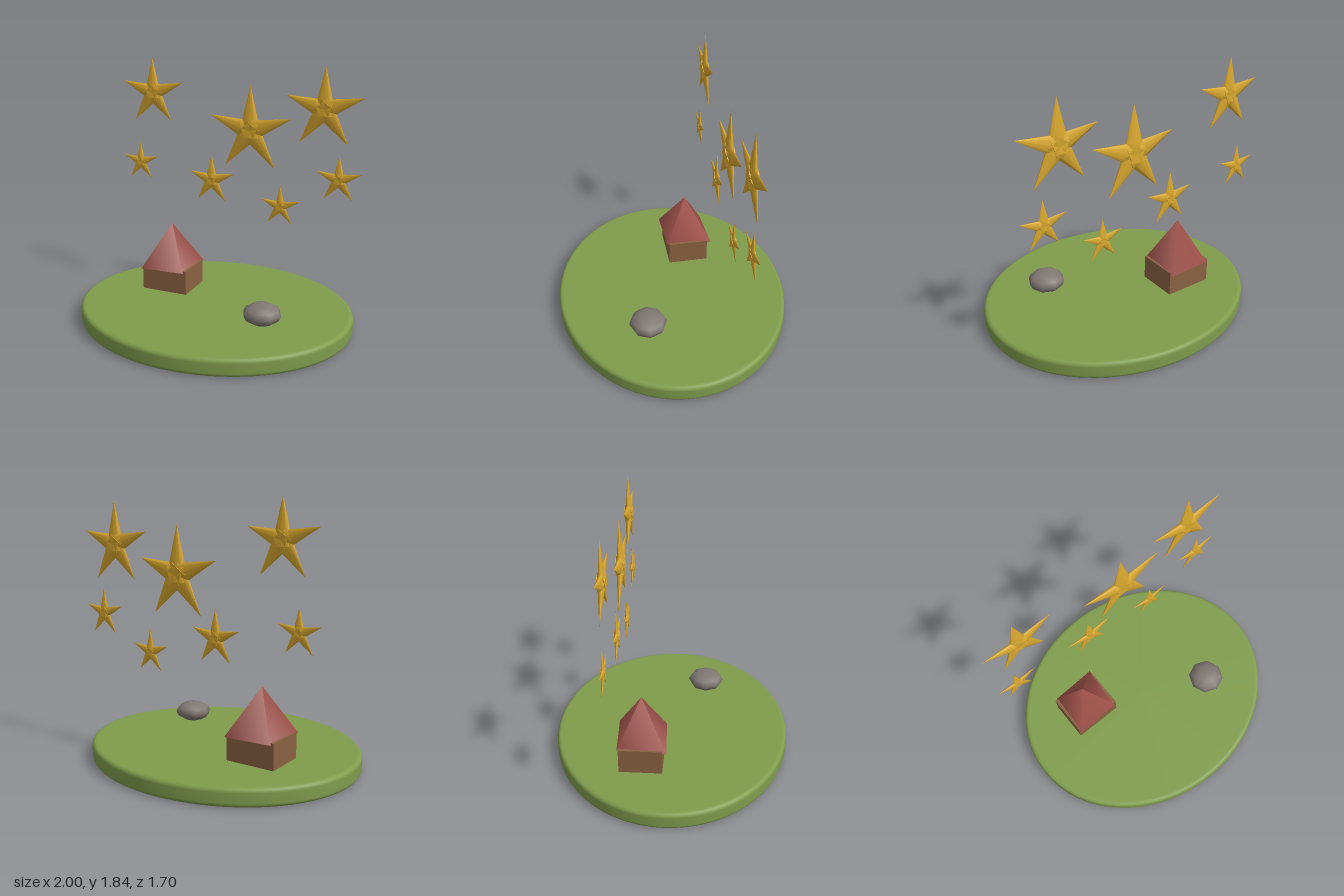
import * as THREE from 'three';

const paint = (name, color) => {
  const m = new THREE.MeshStandardMaterial({ color });
  m.name = name;
  return m;
};

export function createModel() {
  const grass = paint('grass green', 0x7f9c4c);
  const wood = paint('wall brown', 0x8a6242);
  const brick = paint('roof red', 0x9c5048);
  const stone = paint('stone grey', 0x807873);
  const gold = paint('star gold', 0xd9a82e);

  const model = new THREE.Group();
  const add = (parent, name, geometry, material, x = 0, y = 0, z = 0) => {
    const mesh = new THREE.Mesh(geometry, material);
    mesh.name = name;
    mesh.position.set(x, y, z);
    parent.add(mesh);
    return mesh;
  };

  // Oval island: a disc with rounded rims
  const H = 0.125, B = 0.03;
  const profile = [new THREE.Vector2(0, 0), new THREE.Vector2(1 - B - 0.01, 0)];
  for (const [cy, start] of [[B, -Math.PI / 2], [H - B, 0]]) {
    for (let i = 0; i <= 5; i++) {
      const a = start + (i / 5) * Math.PI / 2;
      profile.push(new THREE.Vector2(1 - B + B * Math.cos(a), cy + B * Math.sin(a)));
    }
  }
  profile.push(new THREE.Vector2(1 - B - 0.01, H), new THREE.Vector2(0, H));
  add(model, 'island', new THREE.LatheGeometry(profile, 64), grass).scale.z = 0.85;

  // House: box walls under a slightly skewed four-sided roof
  const house = new THREE.Group();
  house.name = 'house';
  house.position.set(-0.428, H, -0.181);
  model.add(house);
  add(house, 'walls', new THREE.BoxGeometry(0.358, 0.18, 0.298), wood, 0, 0.09, 0);
  const roofShape = new THREE.ConeGeometry(1, 0.33, 4);
  roofShape.scale(0.226, 1, 0.252).rotateY(-Math.PI / 4);
  add(house, 'roof', roofShape, brick, 0, 0.332, 0);

  // Flattened boulder
  add(model, 'boulder', new THREE.SphereGeometry(0.134, 8, 6), stone, 0.452, 0.215, 0.242).scale.y = 0.545;

  // Star of unit radius: five flattened cones whose bases overlap past the centre
  const overlap = 0.15;
  const arm = new THREE.ConeGeometry(0.285, 1 + overlap, 10);
  arm.scale(1, 1, 0.36).translate(0, (1 - overlap) / 2, 0);

  // [x, y, radius]
  const stars = [
    [-0.67, 1.577, 0.263], [0.12, 1.336, 0.329], [0.665, 1.519, 0.296], [-0.79, 1.033, 0.158],
    [-0.185, 0.941, 0.194], [0.36, 0.793, 0.158], [0.785, 1.031, 0.174],
  ];
  for (const [x, y, r] of stars) {
    const star = new THREE.Group();
    star.name = 'star';
    star.position.set(x, y, -0.365);
    star.scale.setScalar(r);
    for (let i = 0; i < 5; i++) add(star, 'starArm', arm, gold).rotation.z = i * Math.PI * 0.4;
    model.add(star);
  }
  return model;
}
